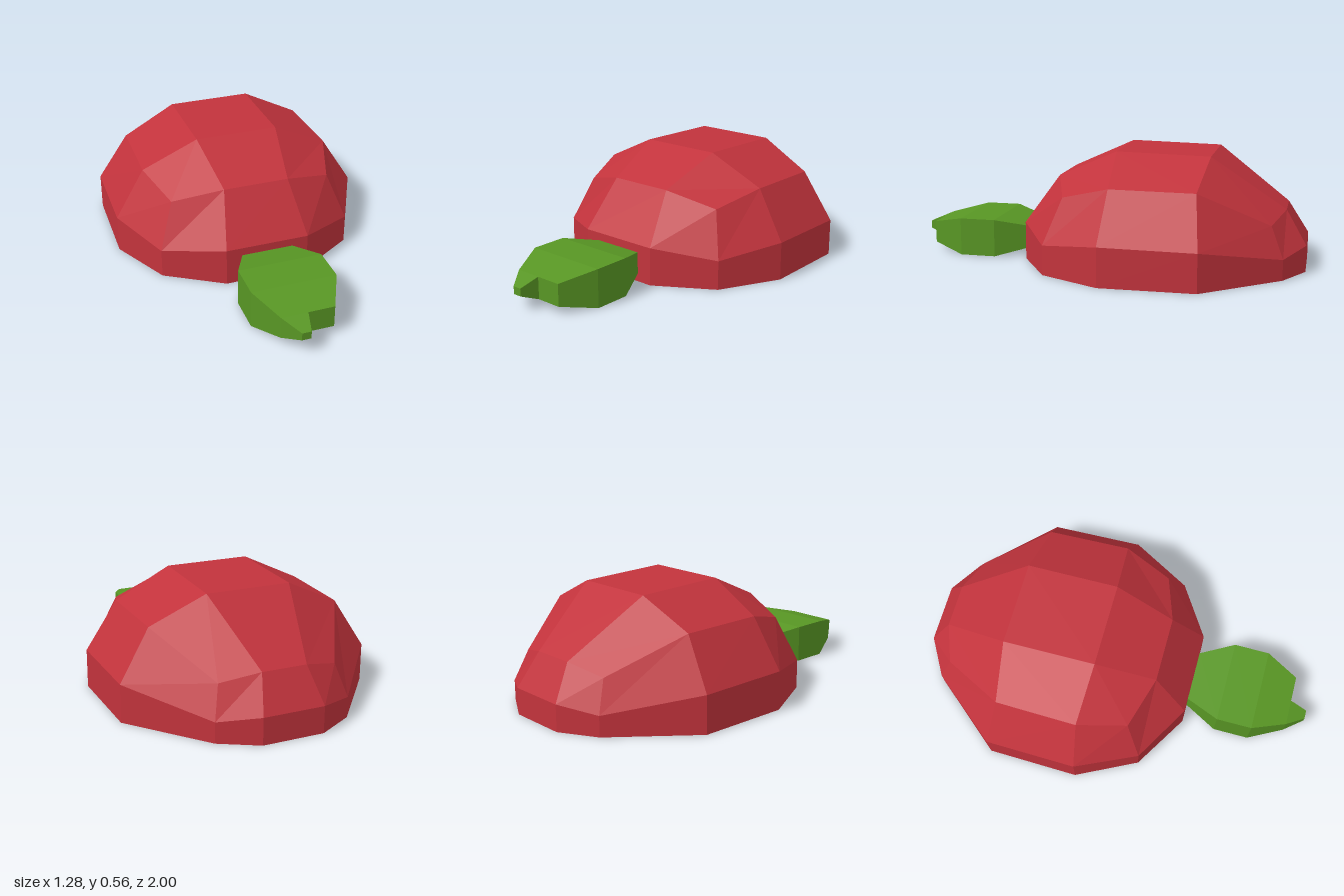
import * as THREE from 'three';

const red = new THREE.MeshStandardMaterial({ color: 0xc2333c, name: 'shellRed' });
const brown = new THREE.MeshStandardMaterial({ color: 0xc4746f, name: 'bellyBrown' });
const green = new THREE.MeshStandardMaterial({ color: 0x589624, name: 'skinGreen' });

// Two triangles of a flat-sided quad, corners counter-clockwise
const quad = (a, b, c, d) => [a, b, c, a, c, d];

// Side faces between two matching loops
const loft = (lower, upper) => lower.flatMap((p, i) => {
  const n = (i + 1) % lower.length;
  return quad(p, lower[n], upper[n], upper[i]);
});

// Mirror the +x half of a loop (front to back) into a closed loop
const mirrorLoop = half => [...half, ...half.map(([x, y, z]) => [-x, y, z]).reverse()];

function faceted(points, material, name) {
  const geometry = new THREE.BufferGeometry();
  geometry.setAttribute('position', new THREE.Float32BufferAttribute(points.flat(), 3));
  geometry.computeVertexNormals();
  const mesh = new THREE.Mesh(geometry, material);
  mesh.name = name;
  return mesh;
}

// Rectangular section facing +z
const section = (z, x0, x1, y0, y1) => [[x0, y0, z], [x1, y0, z], [x1, y1, z], [x0, y1, z]];

export function createModel() {
  const model = new THREE.Group();
  model.name = 'shelledCreature';

  // Shell loops: rim, shoulder and crown
  const rim = mirrorLoop([
    [0.21, 0.19, 0.39], [0.49, 0.145, 0.22], [0.64, 0.19, -0.08],
    [0.63, 0.185, -0.54], [0.33, 0.10, -0.9], [0.15, 0.13, -1],
  ]);
  const base = rim.map(([x, , z]) => [x, 0, z]);
  const shoulder = mirrorLoop([
    [0.165, 0.43, 0.22], [0.41, 0.365, 0.14], [0.49, 0.43, -0.1],
    [0.48, 0.425, -0.51], [0.29, 0.25, -0.84], [0.11, 0.295, -0.9],
  ]);
  const crown = mirrorLoop([[0.21, 0.565, -0.08], [0.21, 0.555, -0.54]]);

  // Top of the shell as a four by four grid
  const u = shoulder;
  const rows = [
    [u[10], u[11], u[0], u[1]],
    [u[9], crown[3], crown[0], u[2]],
    [u[8], crown[2], crown[1], u[3]],
    [u[7], u[6], u[5], u[4]],
  ];
  const top = [];
  for (let i = 0; i < 3; i++) {
    for (let j = 0; j < 3; j++) {
      top.push(...quad(rows[i][j], rows[i][j + 1], rows[i + 1][j + 1], rows[i + 1][j]));
    }
  }
  model.add(faceted([...loft(base, rim), ...loft(rim, shoulder), ...top], red, 'shell'));

  // Flat underside
  const belly = base.flatMap((p, i) => [[0, 0, -0.3], base[(i + 1) % base.length], p]);
  model.add(faceted(belly, brown, 'belly'));

  // Head with tapered ends
  const head = [
    section(0.39, -0.13, 0.13, 0.04, 0.15),
    section(0.56, -0.21, 0.21, 0, 0.19),
    section(0.74, -0.21, 0.21, 0, 0.19),
    section(0.91, -0.13, 0.13, 0.04, 0.15),
  ];
  const headFaces = [...quad(...head[0].slice().reverse()), ...quad(...head[3])];
  for (let i = 0; i < 3; i++) headFaces.push(...loft(head[i], head[i + 1]));
  model.add(faceted(headFaces, green, 'head'));

  // Small off-centre snout
  const snoutBase = section(0.91, -0.13, 0, 0.04, 0.15);
  const snoutTip = section(1, -0.065, -0.02, 0.077, 0.115);
  model.add(faceted([...loft(snoutBase, snoutTip), ...quad(...snoutTip)], green, 'snout'));

  return model;
}
